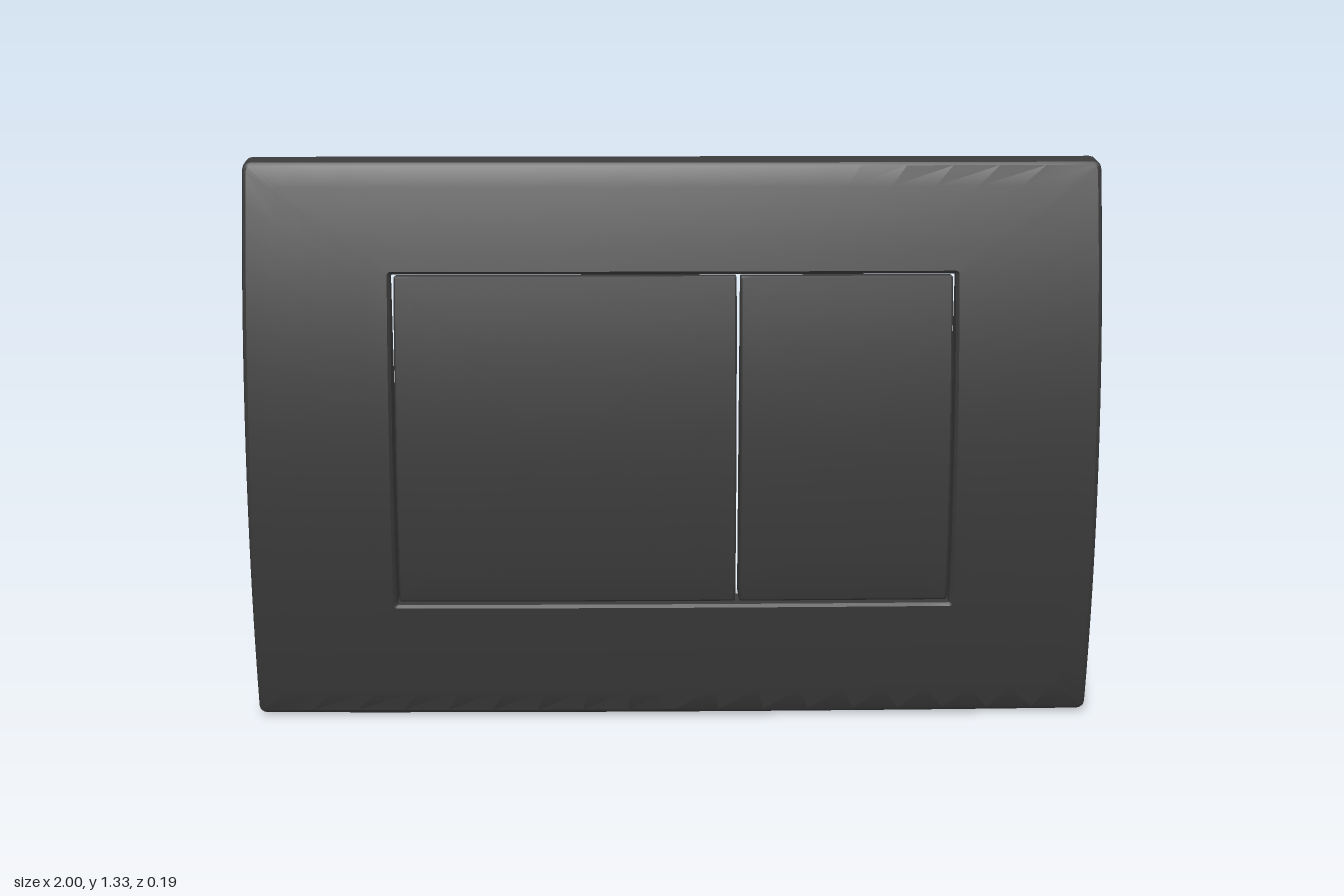
import * as THREE from 'three';
import { toCreasedNormals } from 'three/addons/utils/BufferGeometryUtils.js';

const MID = 0.665;

// Bowed front face, strongly in y and slightly in x
const front = (drop = 0) => (x, y) => 0.092 - 0.2 * (y - MID) ** 2 - 0.014 * x * x - drop;
// Sloping plane where the walls behind the opening end
const wallEnd = (x, y) => 0.022 - 0.085 * (1.075 - y);
const flat = (z) => () => z;

// One rounded rectangle of a sweep; z follows a rule in x and y
const ring = (cx, cy, hx, hy, r, z) => ({ cx, cy, hx, hy, r, z });

// Rings between two rectangles on the same surface, at the given fractions
function between(a, b, fractions) {
  const mix = (k, t) => a[k] + (b[k] - a[k]) * t;
  return fractions.map((t) =>
    ring(mix('cx', t), mix('cy', t), mix('hx', t), mix('hy', t), mix('r', t), b.z));
}

function ringPoints({ cx, cy, hx, hy, r, z }) {
  const pts = [];
  const signs = [[1, 1], [-1, 1], [-1, -1], [1, -1]];
  const N = 18;
  signs.forEach(([sx, sy], k) => {
    const corner = [];
    for (let i = 0; i <= 3; i++) {
      const a = (k + i / 3) * Math.PI / 2;
      corner.push([sx * (hx - r) + r * Math.cos(a), sy * (hy - r) + r * Math.sin(a)]);
    }
    // Straight side up to the next corner
    const [nx, ny] = signs[(k + 1) % 4];
    const a = (k + 1) * Math.PI / 2;
    const end = [nx * (hx - r) + r * Math.cos(a), ny * (hy - r) + r * Math.sin(a)];
    const last = corner[3];
    pts.push(...corner);
    for (let i = 1; i < N; i++) {
      pts.push([last[0] + (end[0] - last[0]) * i / N, last[1] + (end[1] - last[1]) * i / N]);
    }
  });
  return pts.map(([x, y]) => [cx + x, cy + y, z(cx + x, cy + y)]);
}

// Skin a series of rings into one surface
function sweep(rings) {
  const loops = rings.map(ringPoints);
  const n = loops[0].length;
  const index = [];
  for (let i = 0; i < loops.length - 1; i++) {
    for (let j = 0; j < n; j++) {
      const a = i * n + j;
      const b = i * n + (j + 1) % n;
      index.push(a, a + n, b, b, a + n, b + n);
    }
  }
  const geo = new THREE.BufferGeometry();
  geo.setAttribute('position', new THREE.Float32BufferAttribute(loops.flat(2), 3));
  geo.setIndex(index);
  return toCreasedNormals(geo, 0.45);
}

// Hollow surround with a collar behind its opening
function frameGeometry() {
  const hole = (grow, z) => ring(0, 0.678, 0.653 + grow, 0.391 + grow, 0.004 + grow / 2, z);
  const outer = (hx, hy, r, z) => ring(0, MID, hx, hy, r, z);
  const steps = [0, 0.2, 0.4, 0.6, 0.8, 1];
  const skin = front(0.024);
  return sweep([
    hole(0, front(0.008)),
    ...between(hole(0.007, front()), outer(0.984, 0.65, 0.012, front()), steps),
    outer(0.991, 0.657, 0.016, front(0.004)),
    outer(0.994, 0.66, 0.018, front(0.012)),
    outer(1, MID, 0.02, flat(-0.095)),
    outer(0.979, 0.644, 0.01, flat(-0.095)),
    ...between(outer(0.972, 0.636, 0.008, skin), hole(0.018, skin), steps),
    hole(0.018, wallEnd),
    hole(0, wallEnd),
    hole(0, front(0.008)),
  ]);
}

// Hollow push plate with a bevelled lower edge
function buttonGeometry(x0, x1) {
  const cx = (x0 + x1) / 2, hx = (x1 - x0) / 2;
  const cy = 0.68, hy = 0.385;
  const face = (x, y) => front()(x, y) - 0.12 * Math.max(0, 0.335 - y);
  const rect = (inset, z) => ring(cx, cy, hx - inset, hy - inset, 0.004, z);
  const centre = ring(cx, cy, 0, 0, 0, face);
  const steps = [0, 0.2, 0.4, 0.6, 0.75, 0.9, 1];
  const skin = front(0.022);
  return sweep([
    ...between(centre, rect(0.004, face), steps),
    rect(0, (x, y) => face(x, y) - 0.004),
    rect(0, wallEnd),
    rect(0.014, wallEnd),
    ...between(rect(0.014, skin), { ...centre, z: skin }, steps),
  ]);
}

export function createModel() {
  const group = new THREE.Group();
  group.name = 'wallPlate';
  const charcoal = new THREE.MeshStandardMaterial({ color: 0x3a3a3a });
  charcoal.name = 'charcoal';

  const add = (name, geometry) => {
    const mesh = new THREE.Mesh(geometry, charcoal);
    mesh.name = name;
    group.add(mesh);
  };
  add('frame', frameGeometry());
  add('largeButton', buttonGeometry(-0.645, 0.145));
  add('smallButton', buttonGeometry(0.154, 0.645));
  return group;
}
